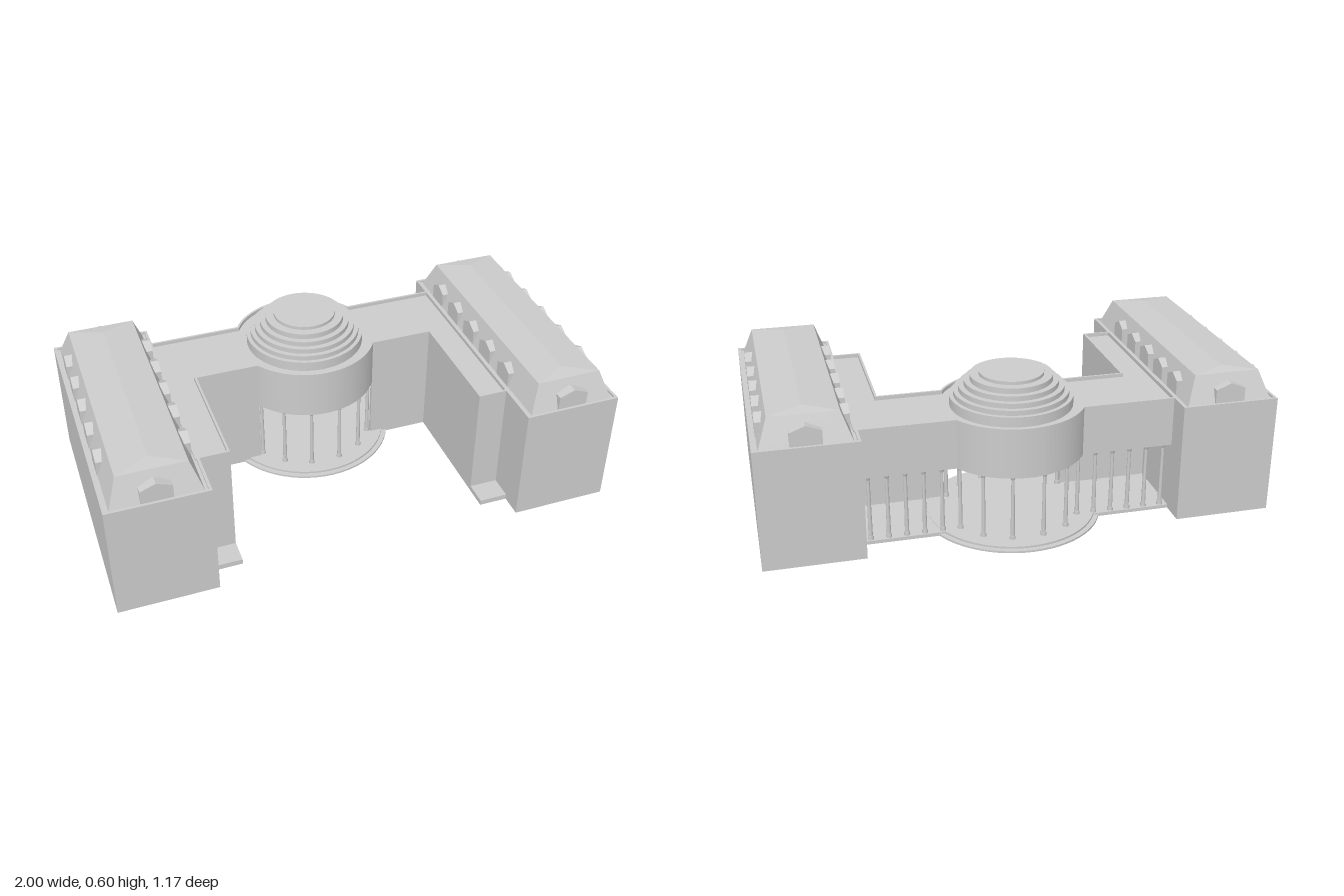
import * as THREE from 'three';

const grey = new THREE.MeshStandardMaterial({ color: 0xcccccc, side: THREE.DoubleSide });
const ZC = -0.235; // rotunda centre
const WX = 0.807, WZ = 0.05; // wing centre
const WALL = 0.48, ROOF = 0.465, EAVE = 0.28;

function add(parent, name, geometry, x = 0, y = 0, z = 0) {
  const mesh = new THREE.Mesh(geometry, grey);
  mesh.name = name;
  mesh.position.set(x, y, z);
  parent.add(mesh);
  return mesh;
}

// Box given by its limits; it may be left open underneath
function block(parent, name, [x0, x1], [y0, y1], [z0, z1], open = false) {
  const g = new THREE.BoxGeometry(x1 - x0, y1 - y0, z1 - z0);
  if (open) {
    const index = Array.from(g.index.array);
    index.splice(18, 6);
    g.setIndex(index);
  }
  return add(parent, name, g, (x0 + x1) / 2, (y0 + y1) / 2, (z0 + z1) / 2);
}

// Plan points [x, z] pulled up from y0 to y1
function slab(parent, name, outer, hole, y0, y1) {
  const flip = pts => pts.map(([x, z]) => new THREE.Vector2(x, -z));
  const shape = new THREE.Shape(flip(outer));
  if (hole) shape.holes.push(new THREE.Path(flip(hole)));
  const g = new THREE.ExtrudeGeometry(shape, { depth: y1 - y0, bevelEnabled: false });
  g.rotateX(-Math.PI / 2);
  return add(parent, name, g, 0, y0, 0);
}

const rect = (hx, hz) => [[WX - hx, WZ - hz], [WX + hx, WZ - hz], [WX + hx, WZ + hz], [WX - hx, WZ + hz]];

// Plan of the drum, cross range and inner wings, inset by d
function plan(d) {
  const r = 0.29 - d, zf = ZC + 0.15 - d, zb = ZC - 0.15 + d, end = 0.63 - d;
  const a = Math.asin((0.15 - d) / r);
  const arc = start => Array.from({ length: 33 }, (_, i) => {
    const t = start + a + (Math.PI - 2 * a) * i / 32;
    return [r * Math.cos(t), ZC + r * Math.sin(t)];
  });
  return [
    ...arc(0),
    [-0.5 - d, zf], [-0.5 - d, 0.4 - d], [-end, 0.4 - d], [-end, zb],
    ...arc(Math.PI),
    [end, zb], [end, 0.4 - d], [0.5 + d, 0.4 - d], [0.5 + d, zf],
  ];
}

// Box whose upper corners are drawn in to a smaller rectangle
function taperedBox(hx, hz, topX, topZ, h) {
  const g = new THREE.BoxGeometry(2 * hx, h, 2 * hz).toNonIndexed();
  const p = g.attributes.position;
  for (let i = 0; i < p.count; i++) {
    if (p.getY(i) > 0) {
      p.setX(i, Math.sign(p.getX(i)) * topX);
      p.setZ(i, Math.sign(p.getZ(i)) * topZ);
    }
  }
  g.computeVertexNormals();
  return g;
}

// Gabled dormer, its face at local z = 0 and its body behind it
function dormer(parent, w, x, z, angle) {
  const h = w / 2;
  const face = new THREE.Shape([[-h, 0], [h, 0], [h, 0.062], [0, 0.085], [-h, 0.062]]
    .map(([a, b]) => new THREE.Vector2(a, b)));
  const g = new THREE.ExtrudeGeometry(face, { depth: 0.06, bevelEnabled: false });
  g.translate(0, 0, -0.06);
  add(parent, 'dormer', g, x, 0.47, z).rotation.y = angle;
}

function column(parent, x, z) {
  const g = new THREE.Group();
  g.name = 'column';
  g.position.set(x, 0, z);
  add(g, 'columnBase', new THREE.CylinderGeometry(0.011, 0.012, 0.015, 12), 0, 0.0225, 0);
  add(g, 'columnShaft', new THREE.CylinderGeometry(0.0065, 0.0085, 0.24, 12), 0, 0.15, 0);
  add(g, 'columnCapital', new THREE.CylinderGeometry(0.012, 0.007, 0.014, 12), 0, 0.273, 0);
  parent.add(g);
}

function sideWing() {
  const wing = new THREE.Group();
  wing.name = 'sideWing';
  block(wing, 'wingWalls', [WX - 0.193, WX + 0.193], [0, 0.472], [WZ - 0.535, WZ + 0.535], true);
  slab(wing, 'wingParapet', rect(0.193, 0.535), rect(0.182, 0.524), 0.472, WALL);
  add(wing, 'mansardRoof', taperedBox(0.17, 0.517, 0.13, 0.472, 0.11), WX, 0.527, WZ);
  add(wing, 'roofCap', taperedBox(0.13, 0.472, 0.001, 0.41, 0.009), WX, 0.5865, WZ);
  for (const z of [0.32, 0.157, 0.005, -0.147, -0.3]) {
    dormer(wing, 0.095, WX + 0.172, z, Math.PI / 2);
    dormer(wing, 0.095, WX - 0.172, z, -Math.PI / 2);
  }
  dormer(wing, 0.118, WX, WZ + 0.523, 0);
  dormer(wing, 0.118, WX, WZ - 0.52, Math.PI);

  // Lower part of the inner wing and its entrance step
  block(wing, 'innerWing', [0.5, 0.62], [0, EAVE], [-0.085, 0.4], true);
  block(wing, 'entranceStep', [0.5, 0.615], [0, 0.022], [0.4, 0.495]);

  // Loggia with its columns open to the back
  block(wing, 'loggiaWall', [0.248, 0.62], [0, EAVE], [-0.1, -0.085]);
  block(wing, 'loggiaFloor', [0.24, 0.62], [0, 0.014], [-0.385, -0.085]);
  for (let i = 0; i < 5; i++) column(wing, 0.305 + i * 0.07, -0.37);
  return wing;
}

export function createModel() {
  const model = new THREE.Group();
  model.name = 'building';

  // Two mirrored sides
  for (const s of [1, -1]) {
    const wing = sideWing();
    wing.scale.x = s;
    model.add(wing);
  }

  // Upper storey shared by the drum, cross range and inner wings
  slab(model, 'upperStorey', plan(0), null, EAVE, ROOF);
  slab(model, 'parapet', plan(0), plan(0.009), ROOF, WALL);

  // Rotunda platform and columns
  const disc = (name, r, y0, y1) =>
    add(model, name, new THREE.CylinderGeometry(r, r, y1 - y0, 64), 0, (y0 + y1) / 2, ZC);
  disc('platformLower', 0.355, 0, 0.008);
  disc('platformUpper', 0.335, 0.008, 0.016);
  for (const s of [1, -1]) {
    for (const deg of [-60, -37, -13, 13, 37, 60]) {
      const t = deg * Math.PI / 180;
      column(model, 0.272 * Math.sin(t), ZC + s * 0.272 * Math.cos(t));
    }
  }

  // Stepped dome
  let y = ROOF;
  for (const [r, top] of [[0.24, 0.505], [0.224, 0.525], [0.205, 0.545], [0.183, 0.565], [0.16, 0.587], [0.126, 0.6]]) {
    disc('domeTier', r, y, top);
    y = top;
  }
  return model;
}
